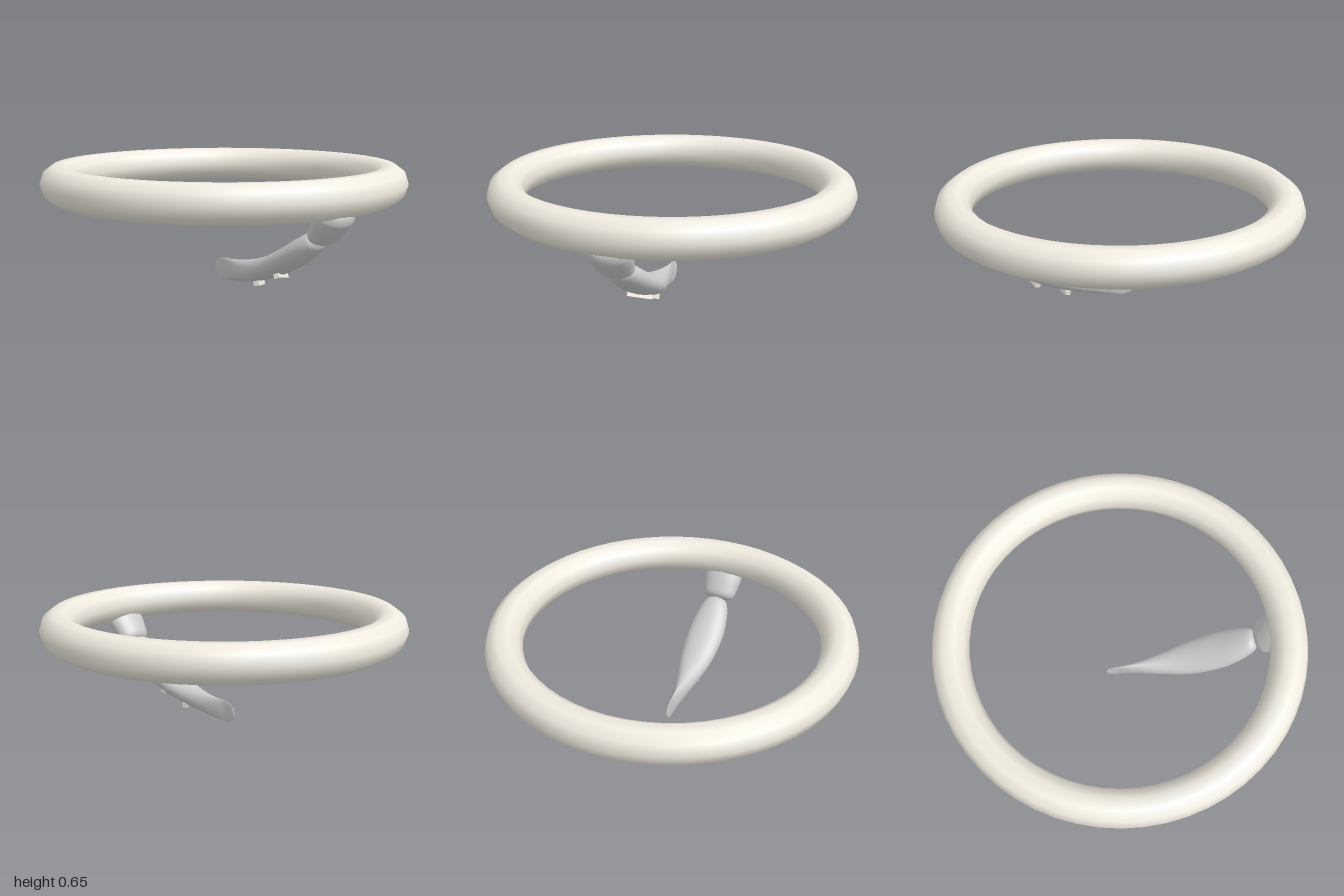
import * as THREE from 'three';

const grey = new THREE.MeshStandardMaterial({ color: 0xcccccc });
const cream = new THREE.MeshStandardMaterial({ color: 0xf0ebe0 });

// Lofts elliptical sections along a path in the YZ plane.
// Each station: [z, y, half width, half thickness]; stations run towards -z.
function loft(stations, rings = 72, sides = 28) {
  const path = new THREE.CatmullRomCurve3(stations.map(([z, y]) => new THREE.Vector3(0, y, z)), false, 'catmullrom');
  const size = new THREE.CatmullRomCurve3(stations.map(([, , w, h]) => new THREE.Vector3(w, h, 0)), false, 'catmullrom');
  const pos = [], idx = [];
  for (let i = 0; i <= rings; i++) {
    const t = i / rings, c = path.getPoint(t), s = size.getPoint(t), d = path.getTangent(t);
    const w = Math.max(s.x, 0.001), h = Math.max(s.y, 0.001);
    for (let j = 0; j < sides; j++) {
      const a = (j / sides) * Math.PI * 2, n = h * Math.sin(a);
      pos.push(w * Math.cos(a), c.y - d.z * n, c.z + d.y * n);
      if (i < rings) {
        const k = (j + 1) % sides, p = i * sides, q = p + sides;
        idx.push(p + j, q + j, p + k, p + k, q + j, q + k);
      }
    }
  }
  const g = new THREE.BufferGeometry();
  g.setAttribute('position', new THREE.Float32BufferAttribute(pos, 3));
  g.setIndex(idx);
  g.computeVertexNormals();
  return g;
}

export function createModel() {
  const model = new THREE.Group();
  model.name = 'ringPendant';
  const add = (name, geometry, material) => {
    const mesh = new THREE.Mesh(geometry, material);
    mesh.name = name;
    model.add(mesh);
    return mesh;
  };

  // Large hoop lying flat, ten-sided tube
  const hoop = add('hoop', new THREE.TorusGeometry(0.9, 0.1, 10, 56), cream);
  hoop.rotation.x = Math.PI / 2;
  hoop.position.y = 0.56;

  // Rounded bead joining the leaf to the hoop
  add('bead', loft([
    [0.912, 0.508, 0.001, 0.001],
    [0.905, 0.5, 0.085, 0.045],
    [0.885, 0.475, 0.112, 0.068],
    [0.86, 0.445, 0.115, 0.07],
    [0.825, 0.402, 0.106, 0.066],
    [0.79, 0.36, 0.094, 0.056],
    [0.774, 0.342, 0.066, 0.034],
    [0.768, 0.336, 0.001, 0.001],
  ]), grey);

  // Curved leaf tapering sideways to a thin upright blade
  add('leaf', loft([
    [0.767, 0.345, 0.001, 0.001],
    [0.757, 0.339, 0.048, 0.035],
    [0.73, 0.323, 0.074, 0.052],
    [0.66, 0.275, 0.097, 0.06],
    [0.55, 0.208, 0.109, 0.062],
    [0.4, 0.138, 0.097, 0.06],
    [0.25, 0.093, 0.064, 0.06],
    [0.1, 0.068, 0.027, 0.06],
    [0, 0.061, 0.006, 0.06],
    [-0.03, 0.06, 0.004, 0.057],
    [-0.06, 0.06, 0.004, 0.043],
    [-0.075, 0.06, 0.004, 0.025],
    [-0.083, 0.06, 0.001, 0.001],
  ], 96), grey);

  // Two slanted bars on the underside of the leaf: [x, y, z, length, slope]
  [[-0.003, 0.107, 0.49, 0.13, -0.42], [-0.005, 0.037, 0.315, 0.085, -0.25]].forEach(([x, y, z, length, slope], i) => {
    const bar = add('bar' + (i + 1), new THREE.BoxGeometry(length, 0.026, 0.03), cream);
    bar.position.set(x, y, z);
    bar.rotation.set(slope, 0.5, 0);
  });

  return model;
}
